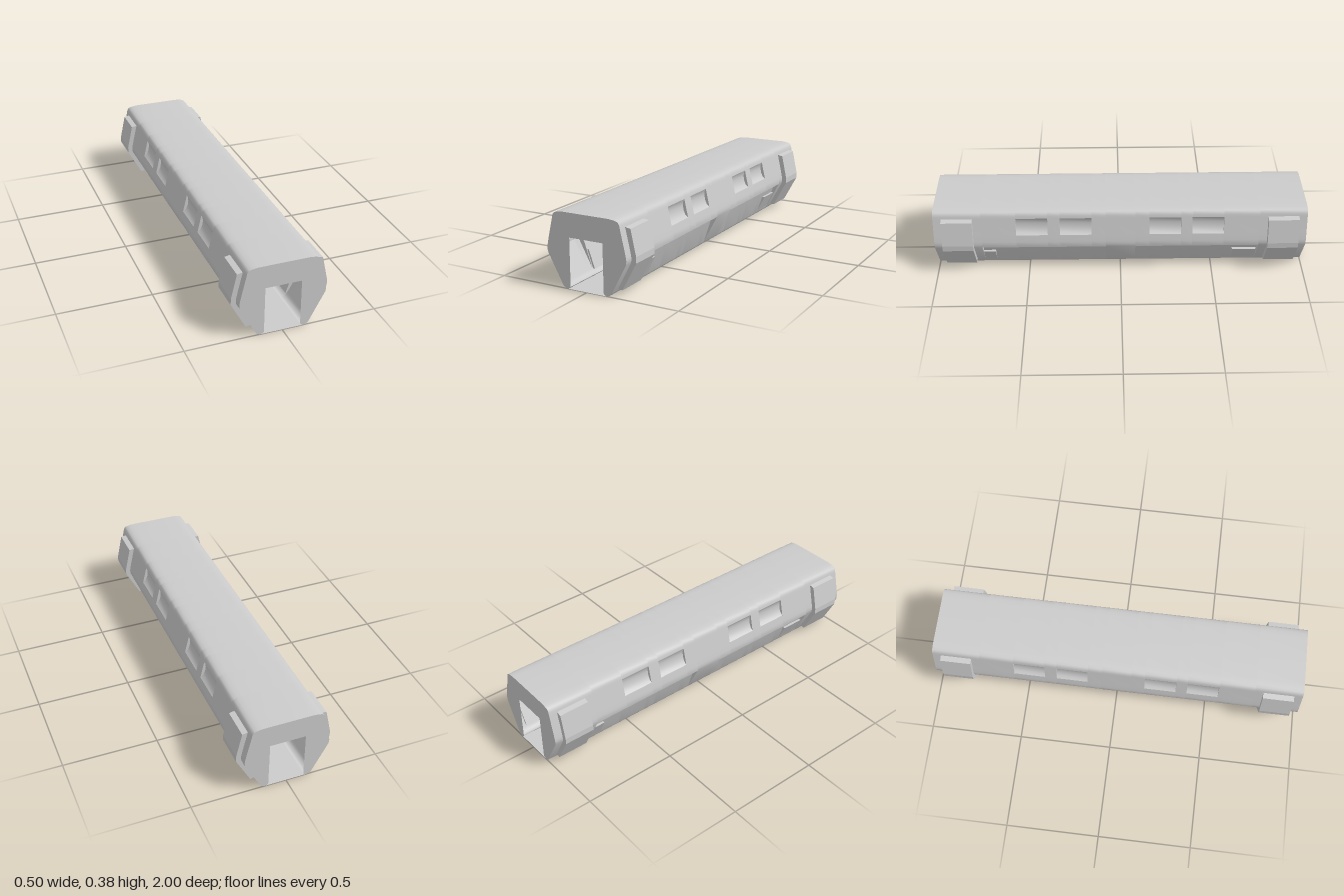
import * as THREE from 'three';
import { mergeGeometries, toCreasedNormals } from 'three/addons/utils/BufferGeometryUtils.js';

const material = new THREE.MeshStandardMaterial({ color: 0xcccccc, side: THREE.DoubleSide });

// Half cross-section of the hull, from the roof centre down to the inner bottom edge
const roof = [[0, .386], [.13, .386], [.157, .383], [.176, .378], [.184, .371], [.189, .36], [.192, .345]];
const windowPocket = [[.185, .331], [.184, .31], [.188, .285], [.198, .263]];
const waist = [[.214, .25], [.222, .212], [.2245, .195], [.222, .175]];
const lowerRecess = [[.196, .17], [.188, .16], [.183, .147]];
const foot = [[.142, .025], [.135, .013], [.126, .007], [.117, .003], [.108, .003], [.1, .008], [.095, .014]];

const windows = [[-.555, -.385], [-.325, -.155], [.155, .325], [.39, .56]];
const recesses = [[-.745, -.08], [.08, .745]];
const within = (z, ranges) => ranges.some(([a, b]) => z > a && z < b);

const toShape = pts => new THREE.Shape(pts.map(p => new THREE.Vector2(...p)));

function mesh(name, geometry) {
  const m = new THREE.Mesh(geometry, material);
  m.name = name;
  return m;
}

// Sweep a cross-section straight from z0 to z1
function band(pts, z0, z1) {
  const pos = [];
  for (let i = 0; i < pts.length - 1; i++) {
    const [p, q] = [pts[i], pts[i + 1]];
    pos.push(...p, z1, ...q, z1, ...q, z0, ...p, z1, ...q, z0, ...p, z0);
  }
  const g = new THREE.BufferGeometry();
  g.setAttribute('position', new THREE.Float32BufferAttribute(pos, 3));
  return toCreasedNormals(g, .6);
}

// Solid prism from a cross-section
function prism(pts, z0, z1) {
  return new THREE.ExtrudeGeometry(toShape(pts), { depth: z1 - z0, bevelEnabled: false }).translate(0, 0, z0);
}

// Walls closing both ends of each pocket
function pocketEnds(pts, ranges) {
  return mergeGeometries(ranges.flat().map(z => new THREE.ShapeGeometry(toShape(pts)).translate(0, 0, z)));
}

function createSide() {
  const side = new THREE.Group();

  // Hull skin, cut into bands wherever the cross-section changes
  const cuts = [-1, 1, ...windows.flat(), ...recesses.flat()].sort((a, b) => a - b);
  const bands = [];
  for (let i = 0; i < cuts.length - 1; i++) {
    const z = (cuts[i] + cuts[i + 1]) / 2;
    bands.push(band([
      ...roof,
      ...(within(z, windows) ? windowPocket : []),
      ...waist,
      ...(within(z, recesses) ? lowerRecess : []),
      ...foot,
    ], cuts[i], cuts[i + 1]));
  }
  side.add(mesh('hullSkin', mergeGeometries(bands)));
  side.add(mesh('windowEnds', pocketEnds([roof.at(-1), ...windowPocket, waist[0]], windows)));
  side.add(mesh('recessEnds', pocketEnds([waist.at(-1), ...lowerRecess, foot[0]], recesses)));

  // Small blocks at the outer ends of the lower recesses
  for (const [z0, z1] of [[.68, .745], [-.74, -.61]]) {
    side.add(mesh('recessBlock', prism([[.189, .12], [.139, .022], [.13, .022], [.165, .12]], z0, z1)));
  }

  // Bent pads wrapped around the waist near both ends
  const pad = [[.221, .34], [.25, .207], [.25, .175], [.172, .03], [.138, .036], [.216, .178], [.217, .205], [.186, .346]];
  for (const z of [-.955, .79]) side.add(mesh('sidePad', prism(pad, z, z + .165)));
  return side;
}

export function createModel() {
  const model = new THREE.Group();
  model.name = 'corridorCar';

  // Both sides are the same, turned half a circle
  const left = createSide();
  left.name = 'leftSide';
  const right = createSide();
  right.name = 'rightSide';
  right.rotation.y = Math.PI;
  model.add(left, right);

  // End walls with a doorway
  const half = [...roof, ...waist, ...foot, [.094, .263]];
  const arch = [...half, ...half.slice(1).reverse().map(([x, y]) => [-x, y])];
  for (const end of [0, 1]) {
    const wall = mesh(end ? 'backWall' : 'frontWall', new THREE.ShapeGeometry(toShape(arch)).translate(0, 0, 1));
    wall.rotation.y = end * Math.PI;
    model.add(wall);
  }

  // Thin floor
  model.add(mesh('floor', new THREE.PlaneGeometry(.22, 2).rotateX(-Math.PI / 2).translate(0, .003, 0)));
  return model;
}
